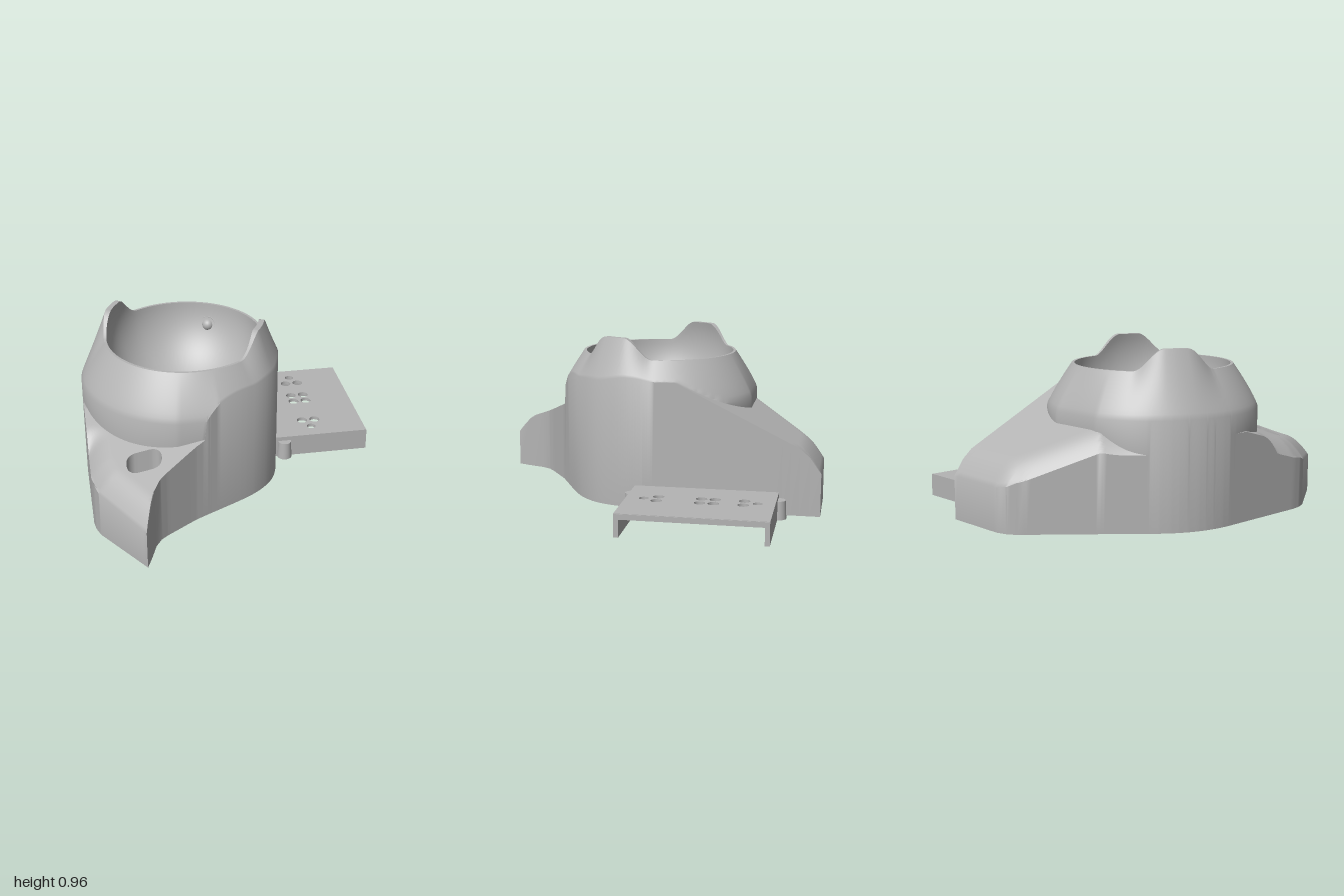
import * as THREE from 'three';
import { toCreasedNormals } from 'three/addons/utils/BufferGeometryUtils.js';

const CX = -0.255, DOME_R = 0.595, CEILING = 0.24, POCKET_Y = 0.385, BOWL_Y = 0.84, BOWL_R = 0.44;
const { clamp, lerp, smoothstep, degToRad } = THREE.MathUtils;

// Plan outline of the base, [x, z], going round the bowl axis
const rightCurve = new THREE.SplineCurve([
  [0.27, 0], [0.268, 0.1], [0.247, 0.2], [0.205, 0.295], [0.13, 0.38], [0.02, 0.458], [-0.2, 0.573],
].map(p => new THREE.Vector2(...p)));
const outline = [
  [0.27, -1], ...rightCurve.getPoints(36).map(p => [p.x, p.y]), [-0.28, 0.615], [-0.33, 0.648],
  [-0.46, 0.737], [-0.5, 0.77], [-0.535, 0.825], [-0.568, 0.92], [-0.6, 1],
  [-0.82, 0.67], [-0.842, 0.61], [-0.85, 0.55], [-0.85, 0],
];
for (let d = 185; d <= 225; d += 5) {
  outline.push([CX + DOME_R * Math.cos(degToRad(d)), DOME_R * Math.sin(degToRad(d))]);
}
outline.push([-0.25, -0.91], [-0.22, -0.945], [-0.175, -0.98], [-0.11, -1]);

// Edges of the deck that are rounded over
const softEdges = [
  [[-0.676, -0.42], [-0.25, -0.91], [-0.175, -0.98], [-0.11, -1], [0.27, -1]],
  [[-0.85, 0.4], [-0.85, 0.55], [-0.82, 0.67], [-0.6, 1]],
];

function wallRadius(a) {
  const c = Math.cos(a), s = Math.sin(a);
  let best = 0;
  outline.forEach(([x1, z1], i) => {
    const [x2, z2] = outline[(i + 1) % outline.length];
    const ex = x2 - x1, ez = z2 - z1, px = x1 - CX, den = c * ez - s * ex;
    if (Math.abs(den) < 1e-9) return;
    const t = (px * ez - z1 * ex) / den, u = (px * s - z1 * c) / den;
    if (t > 0 && u > -1e-5 && u < 1 + 1e-5) best = Math.max(best, t);
  });
  return best;
}

function edgeDistance(x, z) {
  let best = 9;
  for (const line of softEdges) {
    for (let i = 0; i + 1 < line.length; i++) {
      const [ax, az] = line[i], ex = line[i + 1][0] - ax, ez = line[i + 1][1] - az;
      const t = clamp(((x - ax) * ex + (z - az) * ez) / (ex * ex + ez * ez), 0, 1);
      best = Math.min(best, Math.hypot(x - ax - ex * t, z - az - ez * t));
    }
  }
  return best;
}

// Sloping decks in front of and behind the dome
function deckHeight(x, z) {
  const back = Math.min(0.36 + 0.493 * (z + 0.93), 0.5 + 0.23 * smoothstep(x, -0.6, 0));
  const y = z < 0 ? back : Math.min(0.5, 0.385 + 0.2 * (x + 0.5) - 0.29 * (z - 0.77));
  return y - 0.08 * Math.max(0, 1 - edgeDistance(x, z) / 0.13) ** 2;
}

// Two raised ears on opposite sides of the rim
function ear(a) {
  let h = 0;
  for (const deg of [25, -152]) {
    const d = a - degToRad(deg);
    h = Math.max(h, smoothstep(30 - Math.abs(Math.atan2(Math.sin(d), Math.cos(d))) * 180 / Math.PI, 0, 22));
  }
  return h;
}

// The dome is slightly flattened at the front and back
const domeRadius = a => Math.min(DOME_R, (Math.sin(a) < 0 ? 0.573 : 0.583) / Math.max(0.01, Math.abs(Math.sin(a))));

function domeHeight(r, a) {
  const R = domeRadius(a), t = clamp((R - r) / (R - 0.455), 0, 1);
  return 0.6 + 0.24 * t ** 0.85 + 0.12 * ear(a) * t ** 1.5;
}

// Radius of a rounded square seen from the bowl axis
const roundedSquare = (a, half, p) =>
  half / (Math.abs(Math.cos(a)) ** p + Math.abs(Math.sin(a)) ** p) ** (1 / p);

// Slot in the front deck
const SLOT = { x: -0.565, z: 0.618, hx: 0.095, hz: 0.067, r: 0.055 };
function slotDistance(x, z) {
  const qx = Math.abs(x - SLOT.x) - SLOT.hx + SLOT.r, qz = Math.abs(z - SLOT.z) - SLOT.hz + SLOT.r;
  return Math.hypot(Math.max(qx, 0), Math.max(qz, 0)) + Math.min(Math.max(qx, qz), 0) - SLOT.r;
}
function slotEdge(a) {
  let r = 0, step = 0.06;
  for (let i = 0; i < 24; i++, step *= 0.7) {
    if (slotDistance(SLOT.x + (r + step) * Math.cos(a), SLOT.z + (r + step) * Math.sin(a)) < 0) r += step;
  }
  return [SLOT.x + r * Math.cos(a), SLOT.z + r * Math.sin(a)];
}

// Skin over a grid of columns; cells inside the slot are left out and its border is snapped
function skin(columns, cut) {
  const pos = [];
  const add = (...tri) => {
    if (cut && tri.every(p => slotDistance(p[0], p[2]) < 0)) return;
    const v = tri.map(([x, y, z]) => {
      if (cut && slotDistance(x, z) < 0) {
        [x, z] = slotEdge(Math.atan2(z - SLOT.z, x - SLOT.x));
        if (y > CEILING + 0.01) y = deckHeight(x, z);
      }
      return new THREE.Vector3(x, y, z);
    });
    const n = v[1].clone().sub(v[0]).cross(v[2].clone().sub(v[0]));
    if (n.length() > 1e-9) v.forEach(p => pos.push(p.x, p.y, p.z));
  };
  columns.forEach((c, j) => {
    const d = columns[(j + 1) % columns.length];
    for (let i = 0; i + 1 < c.length; i++) {
      add(c[i], c[i + 1], d[i]);
      add(c[i + 1], d[i + 1], d[i]);
    }
  });
  const g = new THREE.BufferGeometry();
  g.setAttribute('position', new THREE.Float32BufferAttribute(pos, 3));
  return toCreasedNormals(g, 0.6);
}

export function createModel() {
  const model = new THREE.Group();
  const grey = new THREE.MeshStandardMaterial({ color: 0xb4b4b4 });
  grey.name = 'plain grey';
  const part = (name, geometry, x = 0, y = 0, z = 0) => {
    const m = new THREE.Mesh(geometry, grey);
    m.name = name;
    m.position.set(x, y, z);
    model.add(m);
    return m;
  };

  // Directions round the bowl axis, with the outline's corners included
  let angles = outline.map(([x, z]) => Math.atan2(z, x - CX));
  for (const z of [-0.73, 0.01]) angles.push(Math.atan2(z - 0.003, 0.525), Math.atan2(z + 0.003, 0.525));
  for (let i = 0; i < 240; i++) angles.push(-Math.PI + (i + 0.5) * Math.PI / 120);
  angles = angles.sort((a, b) => a - b).filter((a, i, l) => i === 0 || a - l[i - 1] > 5e-4);

  const outer = [], bowl = [], under = [];
  for (const a of angles) {
    const at = (r, y, shift = 0) => [CX + r * Math.cos(a) + 0.01 * shift, y, r * Math.sin(a) + 0.02 * shift];
    const top = r => {
      const [x, , z] = at(r, 0);
      return at(r, Math.max(r > D ? 0 : domeHeight(r, a), deckHeight(x, z)));
    };
    const R = wallRadius(a), D = domeRadius(a), Ri = R * 0.955 - 0.01, [wx, , wz] = at(R, 0);
    // The wall is cut away where the side tray joins
    const foot = wx > 0.265 && wz > -0.73 && wz < 0.01 ? 0.11 : 0;
    const rimY = domeHeight(0.455, a), rimE = Math.asin((rimY - BOWL_Y) / BOWL_R), rim = at(BOWL_R * Math.cos(rimE), rimY);

    // Wall, deck, dome
    const o = [at(R, foot)];
    for (let i = 0; i <= 32; i++) o.push(top(R > D + 0.002 ? lerp(R, D + 0.001, i / 32) : R));
    for (let i = 0; i <= 12; i++) o.push(top(lerp(Math.min(R, D), 0.455, i / 12)));
    o.push(rim);
    outer.push(o);

    // Spherical bowl down to its square opening
    const hole = roundedSquare(a, 0.125, 5), low = -Math.acos(hole / BOWL_R), b = [];
    for (let i = 0; i <= 20; i++) {
      const e = lerp(rimE, low, i / 20);
      b.push(at(BOWL_R * Math.cos(e), BOWL_Y + BOWL_R * Math.sin(e), i / 20));
    }
    b.push(at(hole, POCKET_Y, 1));
    bowl.push(b);

    // Pocket, ceiling, ledge and bottom edge
    const pocket = roundedSquare(a, 0.25, 3.5), ledge = Math.max(0.06, foot);
    const u = [at(hole, POCKET_Y, 1), at(pocket, POCKET_Y)];
    for (let i = 0; i <= 36; i++) {
      const p = at(lerp(pocket, Ri - 0.02, i / 36), CEILING);
      p[1] = Math.min(CEILING, deckHeight(p[0], p[2]) - 0.03);
      u.push(p);
    }
    u.push(at(Ri - 0.02, ledge), at(Ri, ledge), at(Ri, foot), at(R, foot));
    under.push(u);
  }
  part('outerShell', skin(outer, true));
  part('bowl', skin(bowl, false));
  part('underside', skin(under, true));

  // Inner wall of the deck slot
  const slot = [];
  for (let i = 0; i < 64; i++) {
    const [x, z] = slotEdge(-i * Math.PI / 32);
    slot.push([[x, CEILING, z], [x, deckHeight(x, z), z]]);
  }
  part('slotWall', skin(slot, false));

  // Three bearing seats in the bowl
  for (const [deg, tilt] of [[180, -31], [-63, -17], [63, -17]]) {
    const a = degToRad(deg), e = degToRad(tilt);
    const n = new THREE.Vector3(Math.cos(e) * Math.cos(a), Math.sin(e), Math.cos(e) * Math.sin(a));
    const p = n.clone().multiplyScalar(BOWL_R).add(new THREE.Vector3(CX, BOWL_Y, 0));
    part('bearingRing', new THREE.TorusGeometry(0.05, 0.006, 8, 32), p.x, p.y, p.z)
      .quaternion.setFromUnitVectors(new THREE.Vector3(0, 0, 1), n);
    p.addScaledVector(n, 0.012);
    part('bearingBall', new THREE.SphereGeometry(0.036, 20, 14), p.x, p.y, p.z);
  }

  // Side tray: pierced top, side walls, end lip
  const top = new THREE.Shape([[0.268, -0.05], [0.84, -0.05], [0.84, 0.77], [0.268, 0.77]]
    .map(([x, y]) => new THREE.Vector2(x, y)));
  const holes = [[0.522, -0.675], [0.522, -0.05]];
  for (const z of [-0.6, -0.44, -0.365, -0.127]) holes.push([0.483, z], [0.561, z]);
  for (const [x, z] of holes) top.holes.push(new THREE.Path().absarc(x, -z, z < -0.65 || z > -0.1 ? 0.026 : 0.031, 0, Math.PI * 2, true));
  const plate = new THREE.ExtrudeGeometry(top, { depth: 0.02, bevelEnabled: false, curveSegments: 16 });
  part('trayTop', plate.rotateX(-Math.PI / 2), 0, 0.11, 0);
  for (const z of [-0.757, 0.037]) {
    part('traySide', new THREE.BoxGeometry(0.575, 0.125, 0.026), 0.5575, 0.0625, z);
  }
  part('trayEndLip', new THREE.BoxGeometry(0.02, 0.03, 0.82), 0.834, 0.113, -0.36);
  for (const z of [-0.52, -0.24]) part('trayRib', new THREE.BoxGeometry(0.16, 0.03, 0.03), 0.52, 0.096, z);

  // Round posts beside the tray
  for (const z of [-0.775, 0.055]) {
    part('trayPost', new THREE.CylinderGeometry(0.038, 0.043, 0.105, 24), 0.335, 0.0525, z);
  }

  // Small bosses under the ceiling
  for (const [x, z] of [[-0.6, -0.25], [0.08, -0.8], [-0.62, 0.35]]) {
    part('screwBoss', new THREE.CylinderGeometry(0.025, 0.025, 0.03, 16), x, CEILING - 0.01, z);
  }
  // Bracket inside the front right wall
  for (const x of [-0.2, -0.08]) part('innerBracket', new THREE.BoxGeometry(0.04, 0.16, 0.1), x, CEILING - 0.08, 0.41);
  return model;
}
